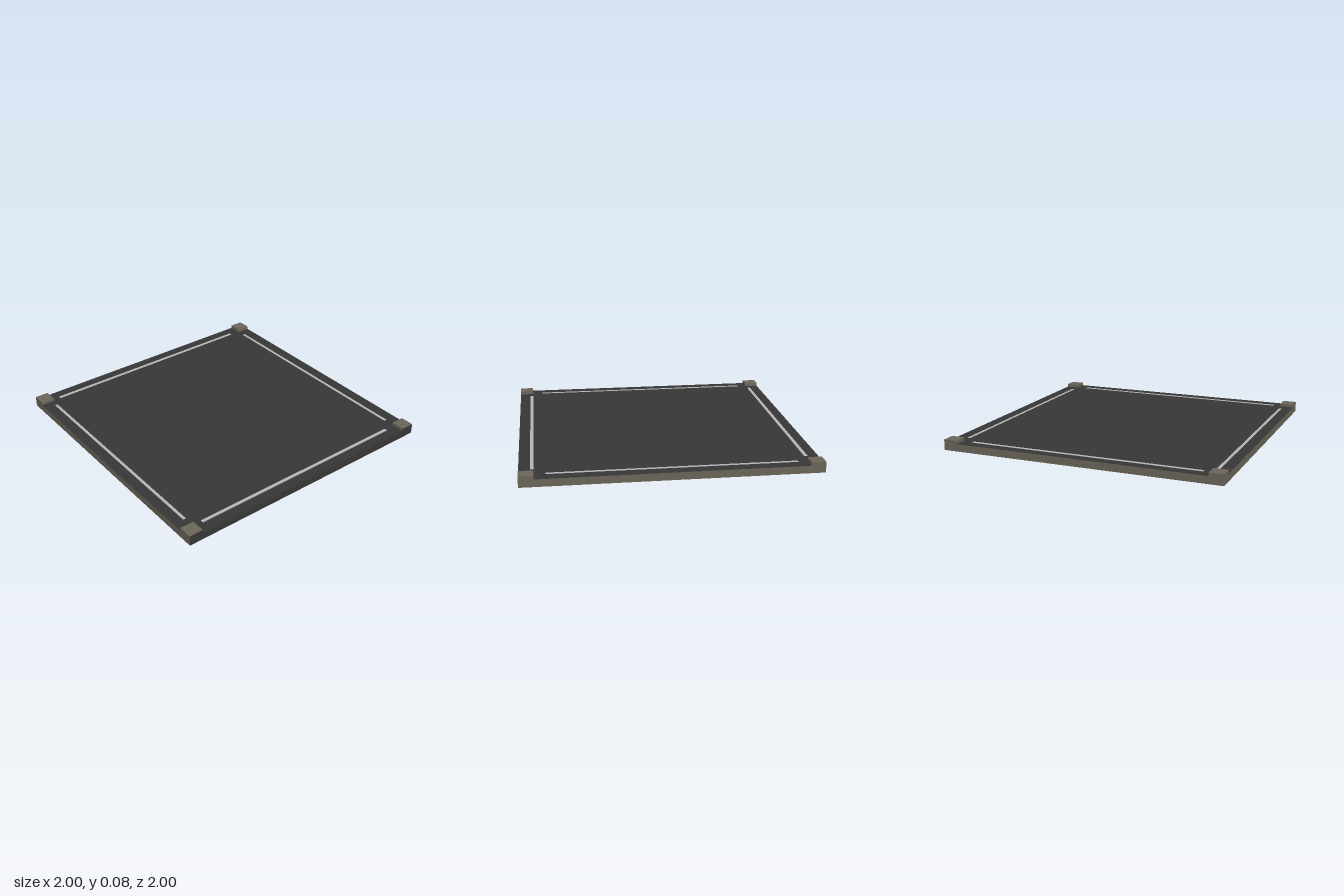
import * as THREE from 'three';

const dark = new THREE.MeshStandardMaterial({ color: 0x363636 });
const olive = new THREE.MeshStandardMaterial({ color: 0x6a6458 });
const pale = new THREE.MeshStandardMaterial({ color: 0xb4b4b4 });

// Box given by its lower and upper corners
function box(name, [x0, y0, z0], [x1, y1, z1], material) {
  const mesh = new THREE.Mesh(new THREE.BoxGeometry(x1 - x0, y1 - y0, z1 - z0), material);
  mesh.position.set((x0 + x1) / 2, (y0 + y1) / 2, (z0 + z1) / 2);
  mesh.name = name;
  return mesh;
}

export function createModel() {
  const model = new THREE.Group();
  model.name = 'floorPanel';
  const top = 0.052, blockTop = 0.075, block = 0.1;

  // Slab: dark top, underside and front, olive on the other edges
  // (materials in the order +x, -x, +y, -y, +z, -z)
  model.add(box('slab', [-1, 0, -1], [1, top, 1], [olive, olive, dark, dark, dark, olive]));

  // Raised corner blocks, flush with the slab edges
  for (const sx of [-1, 1]) {
    for (const sz of [-1, 1]) {
      const x = sx < 0 ? -1 : 1 - block;
      const z = sz < 0 ? -1 : 1 - block;
      const front = sz > 0 ? dark : olive;
      model.add(box(
        `${sz > 0 ? 'front' : 'back'}${sx > 0 ? 'Left' : 'Right'}CornerBlock`,
        [x, top, z], [x + block, blockTop, z + block],
        [olive, olive, olive, olive, front, olive]));
    }
  }

  // Thin pale inlay strips along the four edges
  const y0 = top - 0.01, y1 = top + 0.002;
  for (const [name, x0, x1, z0, z1] of [
    ['backStrip', -0.842, 0.822, -0.928, -0.904],
    ['frontStrip', -0.842, 0.822, 0.899, 0.923],
    ['rightStrip', -0.925, -0.904, -0.838, 0.824],
    ['leftStrip', 0.898, 0.919, -0.838, 0.824],
  ]) model.add(box(name, [x0, y0, z0], [x1, y1, z1], pale));

  return model;
}
